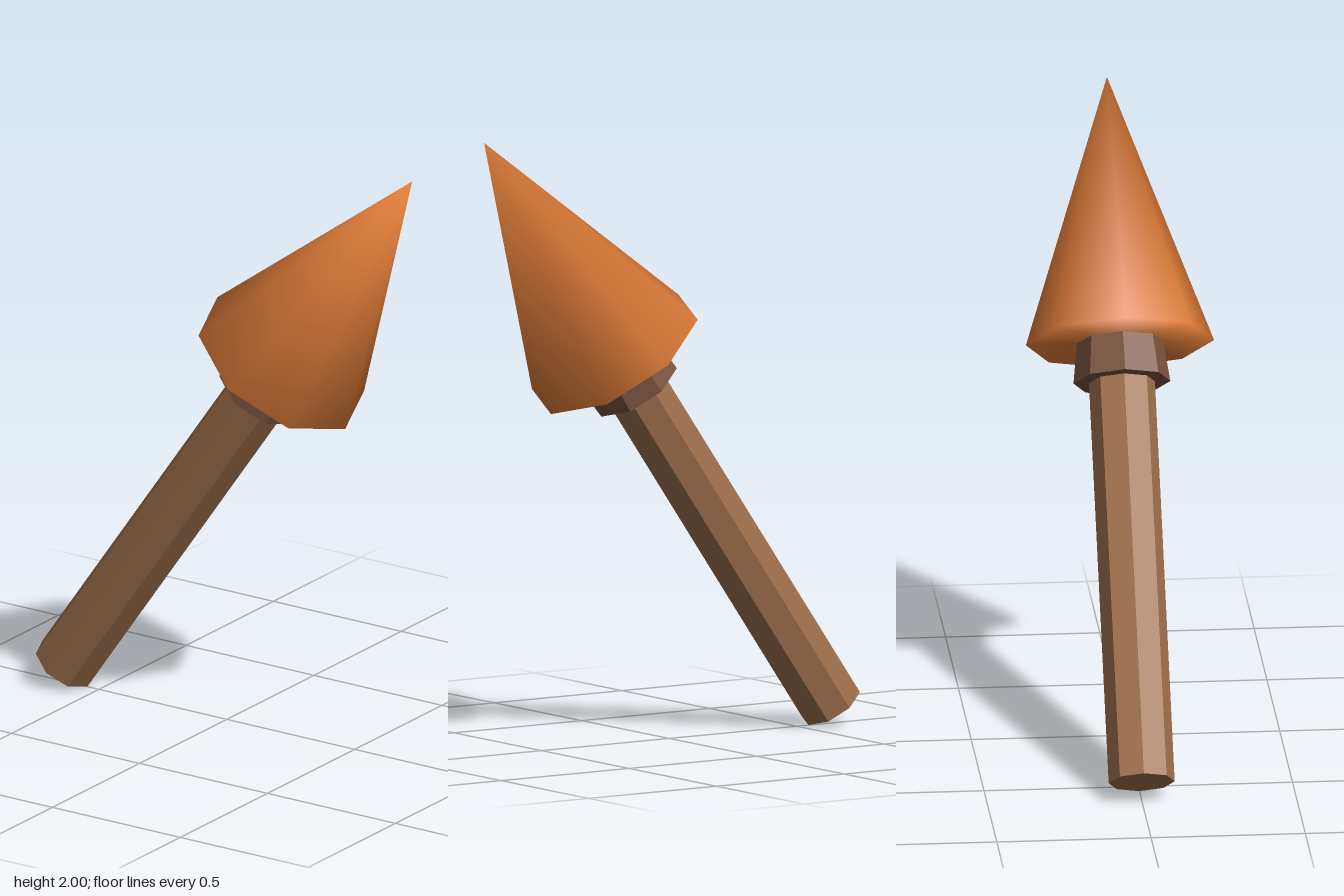
import * as THREE from 'three';
import { mergeVertices } from 'three/addons/utils/BufferGeometryUtils.js';

const SIDES = 8;

export function createModel() {
  const model = new THREE.Group();
  model.name = 'leaningArrow';

  const flat = (name, color) => {
    const m = new THREE.MeshStandardMaterial({ color, flatShading: true });
    m.name = name;
    return m;
  };
  const wood = flat('wood', 0xa0714d);
  const darkWood = flat('darkWood', 0x7c543f);
  const copper = new THREE.MeshStandardMaterial({ color: 0xdd7b38 });
  copper.name = 'copper';

  // Everything is stacked along a local y axis, then leaned over
  const arrow = new THREE.Group();
  arrow.name = 'arrow';
  arrow.position.set(-0.633, 0.061, 0);
  arrow.rotation.z = -THREE.MathUtils.degToRad(35);
  model.add(arrow);

  const addPart = (name, geometry, material, bottom, height) => {
    const mesh = new THREE.Mesh(geometry, material);
    mesh.name = name;
    mesh.position.y = bottom + height / 2;
    arrow.add(mesh);
  };

  // Straight octagonal shaft
  addPart('shaft', new THREE.CylinderGeometry(0.107, 0.107, 1.4, SIDES), wood, 0, 1.4);

  // Slightly tapered collar under the head
  addPart('collar', new THREE.CylinderGeometry(0.14, 0.157, 0.135, SIDES), darkWood, 1.342, 0.135);

  // Pointed head: sides and base share vertices, so its shading is smooth throughout
  let head = new THREE.ConeGeometry(0.305, 0.892, SIDES);
  head.deleteAttribute('normal');
  head.deleteAttribute('uv');
  head = mergeVertices(head, 1e-4);
  head.computeVertexNormals();
  addPart('head', head, copper, 1.475, 0.892);

  return model;
}
